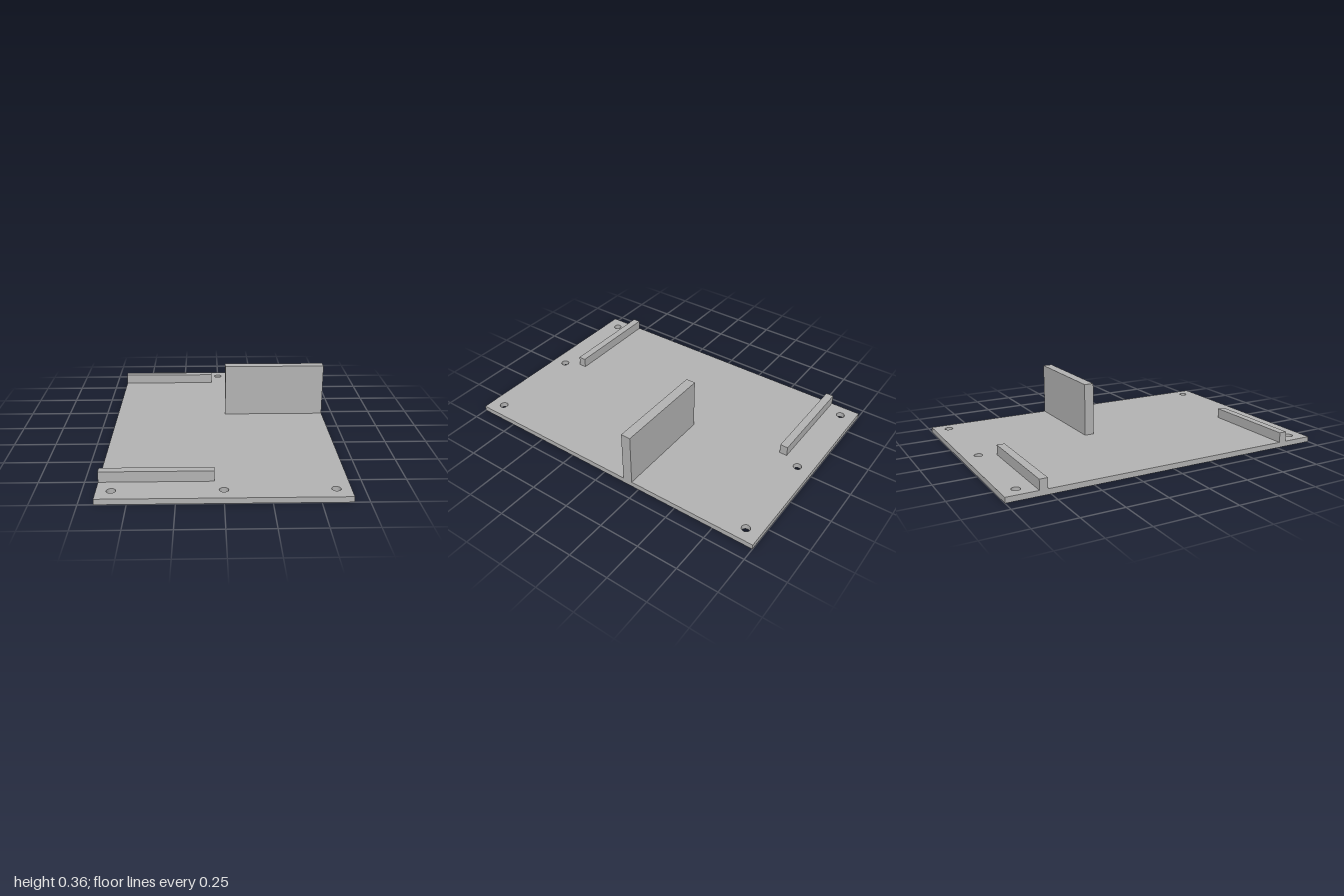
import * as THREE from 'three';

export function createModel() {
  const model = new THREE.Group();
  model.name = 'mountingPlate';
  const grey = new THREE.MeshStandardMaterial({ color: 0xb2b2b2 });
  grey.name = 'plainGrey';

  const halfWidth = 0.667, thickness = 0.032;

  // Base plate with six screw holes
  const outline = new THREE.Shape();
  outline.moveTo(-halfWidth, -1);
  outline.lineTo(halfWidth, -1);
  outline.lineTo(halfWidth, 1);
  outline.lineTo(-halfWidth, 1);
  outline.closePath();
  for (const x of [-0.587, 0, 0.587]) {
    for (const z of [-0.911, 0.911]) {
      const hole = new THREE.Path();
      hole.absarc(x, z, 0.025, 0, Math.PI * 2, true);
      outline.holes.push(hole);
    }
  }
  const plate = new THREE.ExtrudeGeometry(outline, {
    depth: thickness, bevelEnabled: false, curveSegments: 16,
  });
  plate.rotateX(-Math.PI / 2);
  const base = new THREE.Mesh(plate, grey);
  base.name = 'basePlate';
  model.add(base);

  // Upright walls standing on the plate
  function addWall(name, x0, x1, top, z, depth) {
    const height = top - thickness;
    const wall = new THREE.Mesh(new THREE.BoxGeometry(x1 - x0, height, depth), grey);
    wall.position.set((x0 + x1) / 2, thickness + height / 2, z);
    wall.name = name;
    model.add(wall);
  }
  addWall('frontRail', -halfWidth, -0.048, 0.093, 0.79, 0.048);
  addWall('backRail', -halfWidth, -0.048, 0.093, -0.79, 0.048);
  addWall('tallWall', 0.035, halfWidth, 0.359, -0.173, 0.06);

  return model;
}
